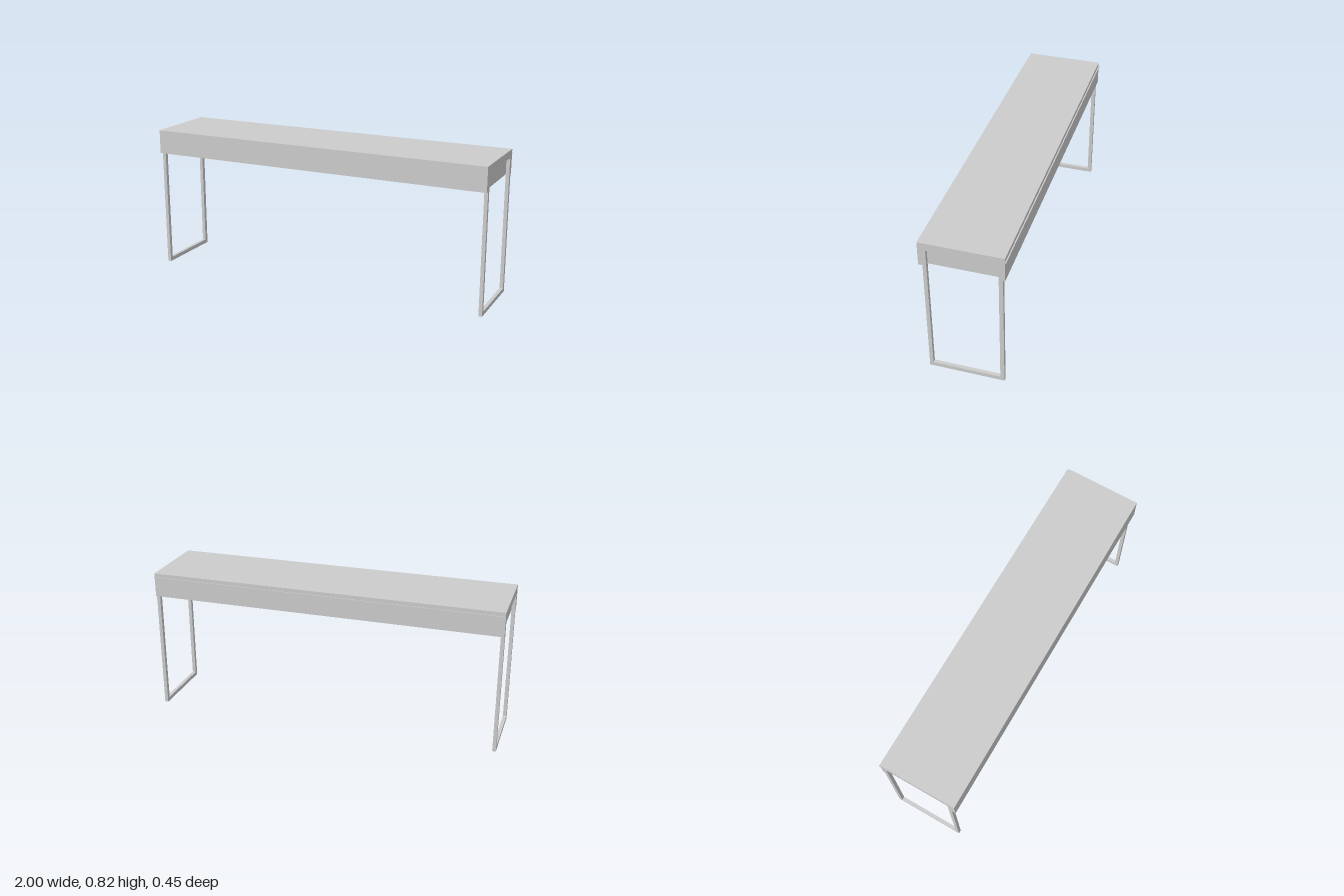
import * as THREE from 'three';

const material = new THREE.MeshStandardMaterial({ color: 0xcccccc });

// Box given by its minimum and maximum corners
function box(name, [x0, y0, z0], [x1, y1, z1]) {
  const mesh = new THREE.Mesh(new THREE.BoxGeometry(x1 - x0, y1 - y0, z1 - z0), material);
  mesh.name = name;
  mesh.position.set((x0 + x1) / 2, (y0 + y1) / 2, (z0 + z1) / 2);
  return mesh;
}

const frameX = 0.98;                 // inner face of the leg frames
const apronY = 0.685;                // lower edge of the aprons
const topY = 0.8, height = 0.822;    // table top slab
const front = 0.225, back = -0.218;
const legFront = 0.203, legBack = -0.207;

// Closed rectangular loop of square bar, standing across the table end
function legFrame() {
  const rect = (path, z0, y0, z1, y1) => {
    path.moveTo(z0, y0);
    path.lineTo(z1, y0);
    path.lineTo(z1, y1);
    path.lineTo(z0, y1);
    path.closePath();
    return path;
  };
  const shape = rect(new THREE.Shape(), -legFront, 0, -legBack, topY);
  shape.holes.push(rect(new THREE.Path(), -0.183, 0.023, 0.185, 0.778));
  const geometry = new THREE.ExtrudeGeometry(shape, { depth: 1 - frameX, bevelEnabled: false });
  geometry.rotateY(Math.PI / 2);
  const mesh = new THREE.Mesh(geometry, material);
  mesh.name = 'legFrame';
  return mesh;
}

export function createModel() {
  const model = new THREE.Group();
  model.name = 'consoleTable';

  // Hollow top: slab with a long apron at front and back
  model.add(
    box('tableTop', [-1, topY, back], [1, height, front]),
    box('frontApron', [-1, apronY, legFront], [1, topY, front]),
    box('backApron', [-1, apronY, back], [1, topY, legBack]),
  );

  // Thin lip with a slightly thicker edge along the back
  model.add(
    box('backLip', [-1, 0.796, -0.222], [1, 0.8, back]),
    box('backLipEdge', [-1, 0.794, -0.225], [1, 0.801, -0.222]),
  );

  // Recessed end panels and leg frames, flush with the table ends
  for (const side of [-1, 1]) {
    const panelX = side * (frameX - 0.006);
    model.add(box('endPanel', [panelX - 0.006, apronY, legBack], [panelX + 0.006, topY, legFront]));
    const frame = legFrame();
    frame.position.x = side > 0 ? frameX : -1;
    model.add(frame);
  }
  return model;
}
